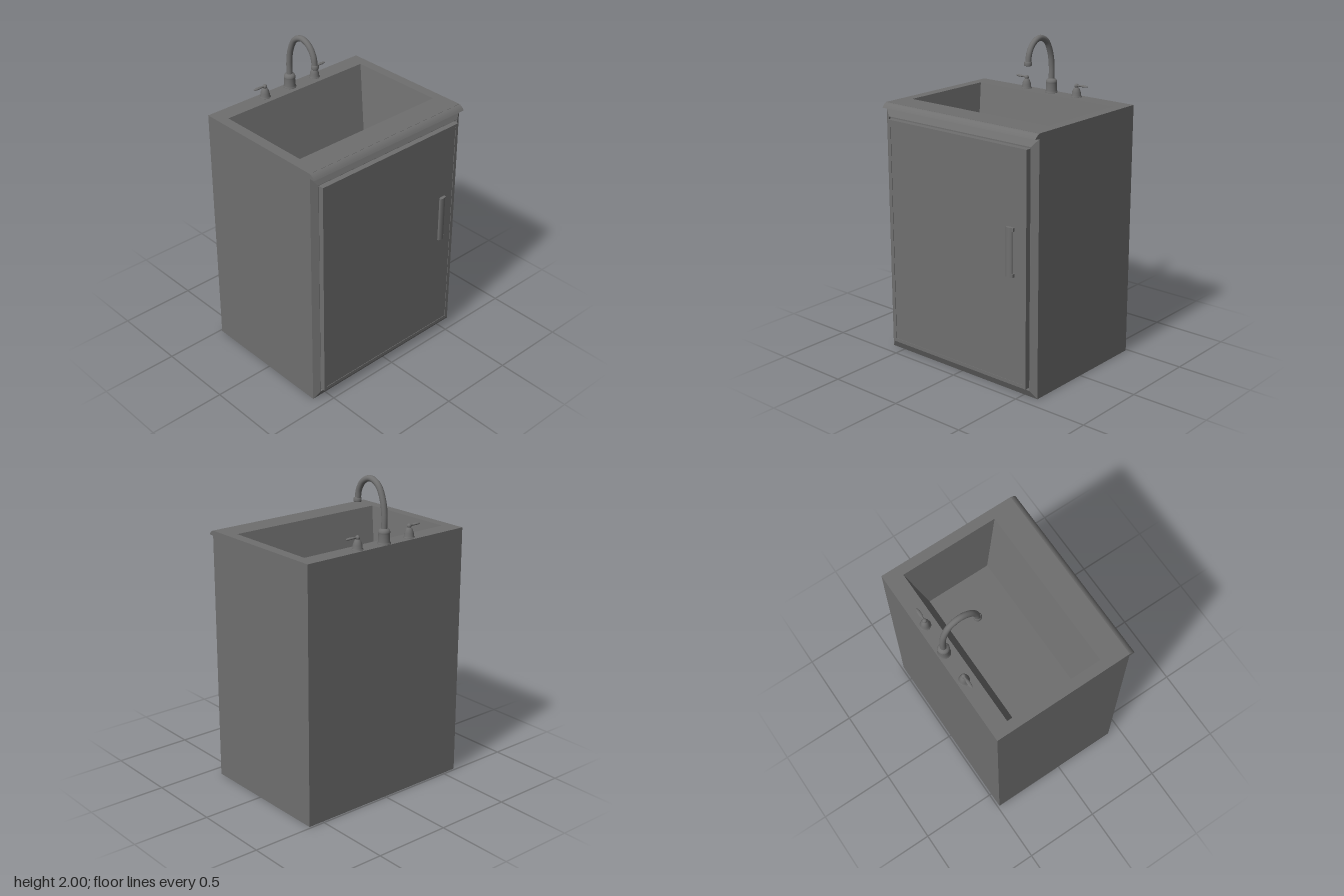
import * as THREE from 'three';

const mat = new THREE.MeshStandardMaterial({ color: 0x6f6f6f });

function add(parent, name, geometry, x = 0, y = 0, z = 0) {
  const mesh = new THREE.Mesh(geometry, mat);
  mesh.name = name;
  mesh.position.set(x, y, z);
  parent.add(mesh);
  return mesh;
}

// Joins rectangles [u0, u1, v0, v1, h] in order along an axis and caps both ends.
function loftRects(rects, place) {
  const rings = rects.map(([u0, u1, v0, v1, h]) =>
    [[u0, v0], [u1, v0], [u1, v1], [u0, v1]].map(([u, v]) => place(u, v, h)));
  const pos = [];
  const quad = (a, b, c, d) => [a, b, c, a, c, d].forEach((p) => pos.push(...p));
  for (let i = 0; i < rings.length - 1; i++) {
    for (let j = 0; j < 4; j++) {
      const k = (j + 1) % 4;
      quad(rings[i][j], rings[i][k], rings[i + 1][k], rings[i + 1][j]);
    }
  }
  quad(...[...rings[0]].reverse());
  quad(...rings[rings.length - 1]);
  const g = new THREE.BufferGeometry();
  g.setAttribute('position', new THREE.Float32BufferAttribute(pos, 3));
  g.computeVertexNormals();
  return g;
}
const alongY = (u, v, h) => [u, h, -v];
const alongZ = (u, v, h) => [u, v, h];

// Turned part from [radius, height] pairs.
function lathe(points, segments = 32) {
  return new THREE.LatheGeometry(points.map(([r, y]) => new THREE.Vector2(r, y)), segments);
}

export function createModel() {
  const model = new THREE.Group();
  model.name = 'sinkCabinet';
  const top = 1.62;

  // Cabinet box, flat rim and tapered basin
  add(model, 'cabinetAndBasin', loftRects([
    [-0.6, 0.6, -0.42, 0.487, 0],
    [-0.6, 0.6, -0.42, 0.487, top],
    [-0.535, 0.535, -0.262, 0.377, top],
    [-0.468, 0.468, -0.155, 0.27, 1.2],
  ], alongY));

  // Bevelled face frame with a shallow recess for the door
  add(model, 'faceFrame', loftRects([
    [-0.6, 0.6, 0, 1.588, 0.419],
    [-0.6, 0.6, 0, 1.588, 0.42],
    [-0.56, 0.56, 0.05, 1.54, 0.445],
    [-0.558, 0.558, 0.052, 1.538, 0.445],
    [-0.558, 0.558, 0.052, 1.538, 0.43],
  ], alongZ));

  // Rolled counter lip
  const lip = new THREE.Shape();
  lip.moveTo(-0.415, 1.588);
  lip.lineTo(-0.457, 1.59);
  lip.quadraticCurveTo(-0.438, 1.617, -0.415, top);
  lip.closePath();
  const lipGeo = new THREE.ExtrudeGeometry(lip, { depth: 1.2, bevelEnabled: false, curveSegments: 10 });
  lipGeo.rotateY(Math.PI / 2);
  add(model, 'counterLip', lipGeo, -0.6);

  // Door with a slightly sunken panel
  add(model, 'door', loftRects([
    [-0.547, 0.547, 0.063, 1.527, 0.425],
    [-0.547, 0.547, 0.063, 1.527, 0.467],
    [-0.525, 0.525, 0.085, 1.51, 0.467],
    [-0.525, 0.525, 0.085, 1.51, 0.464],
  ], alongZ));

  // Door handle
  const handle = new THREE.Group();
  handle.name = 'doorHandle';
  model.add(handle);
  const bar = add(handle, 'handleBar', new THREE.CylinderGeometry(0.024, 0.024, 0.304, 24), 0.428, 0.9, 0.476);
  bar.scale.z = 0.46;
  for (const s of [-1, 1]) {
    add(handle, 'handlePost', new THREE.BoxGeometry(0.03, 0.022, 0.016), 0.444, 0.9 + s * 0.14, 0.472);
  }

  // Faucet: base, curved spout and nozzle
  const faucet = new THREE.Group();
  faucet.name = 'faucet';
  faucet.position.set(0, top, -0.445);
  model.add(faucet);
  add(faucet, 'faucetBase', lathe([
    [0.04, 0], [0.04, 0.006], [0.035, 0.012], [0.034, 0.06], [0.036, 0.064],
    [0.036, 0.072], [0.031, 0.084], [0.018, 0.09],
  ]));
  const path = new THREE.CatmullRomCurve3([
    [0, 0.07], [0, 0.17], [0.015, 0.255], [0.056, 0.333], [0.122, 0.362],
    [0.186, 0.335], [0.223, 0.28], [0.234, 0.22],
  ].map(([z, y]) => new THREE.Vector3(0, y, z)));
  add(faucet, 'spout', new THREE.TubeGeometry(path, 48, 0.0185, 20));
  add(faucet, 'nozzle', lathe([
    [0, 0], [0.022, 0], [0.024, 0.004], [0.024, 0.02], [0.019, 0.027],
  ], 24), 0, 0.205, 0.235);

  // Two taps with levers pointing outward
  for (const s of [-1, 1]) {
    const tap = new THREE.Group();
    tap.name = s > 0 ? 'leftTap' : 'rightTap';
    tap.position.set(s * 0.2, top, -0.442);
    model.add(tap);
    add(tap, 'tapBase', lathe([
      [0.034, 0], [0.034, 0.004], [0.029, 0.008], [0.028, 0.028], [0.021, 0.048],
      [0.015, 0.058], [0.01, 0.062], [0.01, 0.068],
    ]));
    add(tap, 'tapBall', new THREE.SphereGeometry(0.014, 20, 12), 0, 0.07, 0);
    const stem = add(tap, 'leverStem', new THREE.CylinderGeometry(0.006, 0.006, 0.05, 12), s * 0.025, 0.072, 0);
    stem.rotation.z = Math.PI / 2;
    const lever = add(tap, 'lever', new THREE.SphereGeometry(1, 24, 12), s * 0.053, 0.073, 0);
    lever.scale.set(0.034, 0.007, 0.011);
  }
  return model;
}
